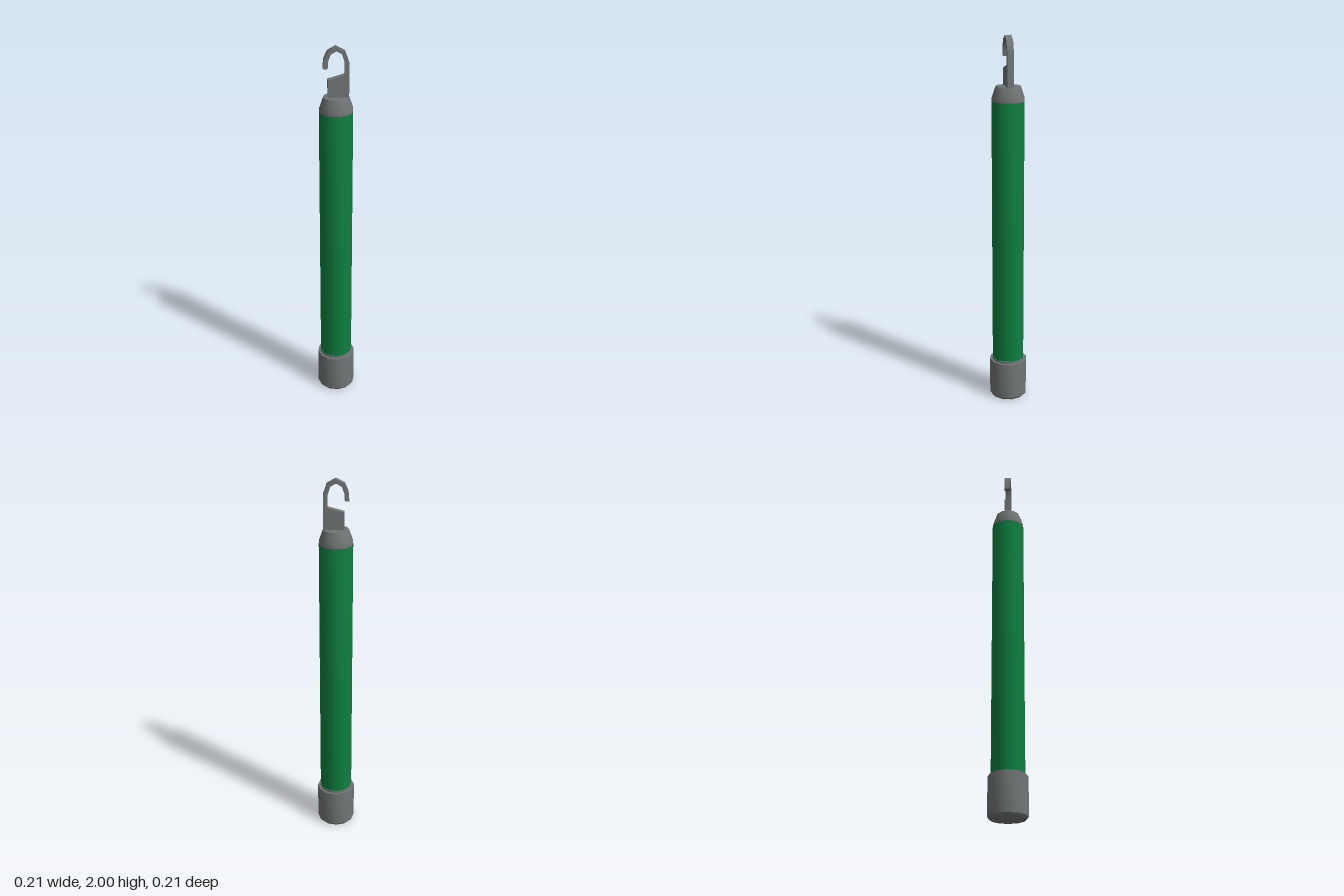
import * as THREE from 'three';
import { toCreasedNormals } from 'three/addons/utils/BufferGeometryUtils.js';

const SIDES = 12;

// Turned part from [radius, height] points, smooth around and sharp at the rims
function turned(name, profile, material) {
  const points = profile.map(([r, y]) => new THREE.Vector2(r, y));
  const geometry = toCreasedNormals(new THREE.LatheGeometry(points, SIDES), 0.6);
  const mesh = new THREE.Mesh(geometry, material);
  mesh.name = name;
  return mesh;
}

export function createModel() {
  const green = new THREE.MeshStandardMaterial({ color: 0x0f8040 });
  green.name = 'green tube';
  const grey = new THREE.MeshStandardMaterial({ color: 0x727676 });
  grey.name = 'grey plastic';

  const model = new THREE.Group();
  model.name = 'lightStick';

  // Bottom cap with a small bevel and a stepped rim
  model.add(turned('bottomCap', [
    [0, 0], [0.093, 0], [0.103, 0.013], [0.103, 0.217], [0.09, 0.217], [0.09, 0.229], [0.086, 0.229],
  ], grey));

  // Long tube
  model.add(turned('tube', [[0.087, 0.22], [0.087, 1.666]], green));

  // Tapered shoulder
  model.add(turned('shoulder', [
    [0.087, 1.666], [0.086, 1.686], [0.066, 1.743], [0, 1.743],
  ], grey));

  // Flat hook: slanted block, stem and faceted open loop in one outline
  const outline = [
    [-0.042, 1.735], [0.064, 1.735], [0.064, 1.92], [0.045, 1.975], [0, 2],
    [-0.044, 1.977], [-0.062, 1.935], [-0.066, 1.89], [-0.043, 1.89],
    [-0.041, 1.927], [-0.028, 1.962], [0, 1.978], [0.028, 1.962],
    [0.043, 1.918], [0.043, 1.856], [-0.042, 1.832],
  ].map(([x, y]) => new THREE.Vector2(x, y));
  const depth = 0.034;
  const hookGeometry = new THREE.ExtrudeGeometry(new THREE.Shape(outline), { depth, bevelEnabled: false });
  hookGeometry.translate(0, 0, -depth / 2);
  const hook = new THREE.Mesh(toCreasedNormals(hookGeometry, 0.75), grey);
  hook.name = 'hook';
  model.add(hook);

  return model;
}
